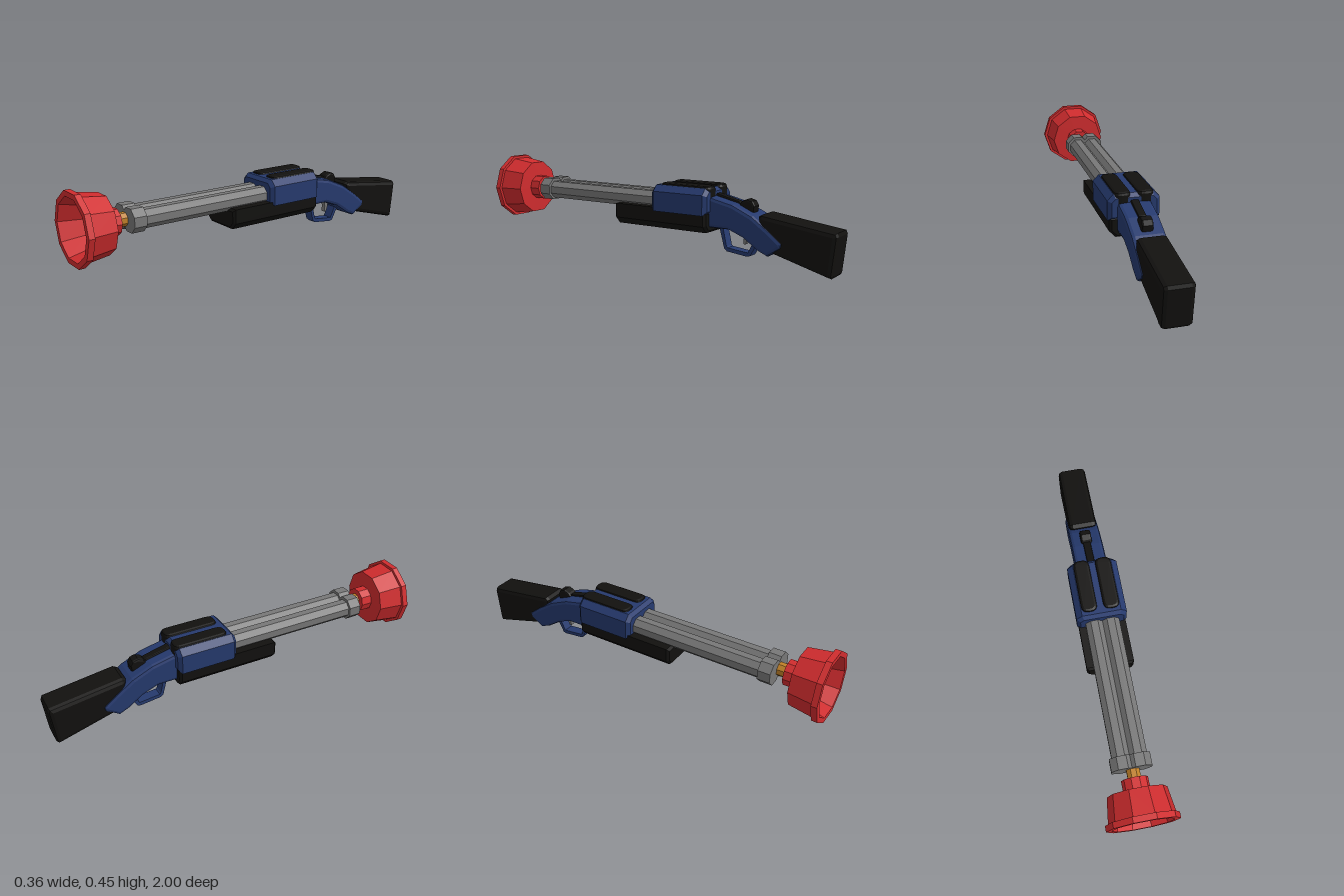
import * as THREE from 'three';

const COLORS = { black: 0x12110f, blue: 0x263a6e, grey: 0x777777, red: 0xd02c2e, brass: 0xc08028 };
const CX = -0.004; // the gun body sits a hair off centre

const materials = {};
for (const [key, color] of Object.entries(COLORS)) {
  materials[key] = new THREE.MeshStandardMaterial({ color, flatShading: true });
}

function mesh(name, geometry, color) {
  const m = new THREE.Mesh(geometry, materials[color]);
  m.name = name;
  return m;
}

const toShape = (pts) => new THREE.Shape(pts.map(([a, b]) => new THREE.Vector2(a, b)));

// Extrusion of total length `depth` centred on 0, with edges rounded inward
function extrude(shape, depth, bevel, segments = 2) {
  const g = new THREE.ExtrudeGeometry(shape, {
    depth: depth - 2 * bevel, bevelEnabled: bevel > 0, bevelThickness: bevel,
    bevelSize: bevel, bevelOffset: -bevel, bevelSegments: segments, curveSegments: 4,
  });
  return g.translate(0, 0, -(depth - 2 * bevel) / 2);
}

// Side profile given as [distance towards the back, height], extruded across x
function sideProfile(shape, width, bevel) {
  return extrude(shape, width, bevel).rotateY(Math.PI / 2).translate(CX, 0, 0);
}

// Cross-section given as [x, y], extruded from z0 to z1
function crossSection(pts, z0, z1, bevel) {
  return extrude(toShape(pts), z1 - z0, bevel, 1).translate(CX, 0, (z0 + z1) / 2);
}

// Octagonal rod along z with a flat on top
function octagonRod(apothem, z0, z1, x, y) {
  const r = apothem / Math.cos(Math.PI / 8);
  return new THREE.CylinderGeometry(r, r, z1 - z0, 8)
    .rotateY(Math.PI / 8).rotateX(Math.PI / 2).translate(x, y, (z0 + z1) / 2);
}

// Rectangle with rounded corners, centred on 0
function roundedRect(w, h, r) {
  const s = new THREE.Shape();
  const a = w / 2, b = h / 2;
  s.moveTo(-a + r, -b);
  s.lineTo(a - r, -b);
  s.quadraticCurveTo(a, -b, a, -b + r);
  s.lineTo(a, b - r);
  s.quadraticCurveTo(a, b, a - r, b);
  s.lineTo(-a + r, b);
  s.quadraticCurveTo(-a, b, -a, b - r);
  s.lineTo(-a, -b + r);
  s.quadraticCurveTo(-a, -b, -a + r, -b);
  return s;
}

export function createModel() {
  const group = new THREE.Group();
  group.name = 'plungerGun';

  // Ten-sided plunger cup: neck, back, wall, lip, then hollow inside
  const cup = [
    [0, 0.78], [0.066, 0.78], [0.066, 0.84], [0.147, 0.843], [0.165, 0.97],
    [0.18, 0.97], [0.18, 1], [0.153, 1], [0.121, 0.885], [0, 0.885],
  ].map(([r, h]) => new THREE.Vector2(r, h));
  group.add(mesh('plungerCup',
    new THREE.LatheGeometry(cup, 10, Math.PI / 2).rotateX(Math.PI / 2).translate(0, 0.277, 0), 'red'));
  group.add(mesh('plungerRod', octagonRod(0.032, 0.68, 0.8, 0, 0.28), 'brass'));

  // Twin barrels with muzzle collars
  for (const side of [-1, 1]) {
    const label = side > 0 ? 'left' : 'right';
    const x = CX + side * 0.042;
    group.add(mesh(label + 'Barrel', octagonRod(0.045, -0.1, 0.725, x, 0.28), 'grey'));
    group.add(mesh(label + 'MuzzleCollar', octagonRod(0.058, 0.67, 0.735, x, 0.282), 'grey'));

    // Rounded cover strip on top of the receiver
    const strip = extrude(roundedRect(0.085, 0.29, 0.036), 0.11, 0.014)
      .rotateX(-Math.PI / 2).translate(CX + side * 0.057, 0.321, -0.213);
    group.add(mesh(label + 'ReceiverCover', strip, 'black'));
  }

  // Receiver with chamfered top edges
  group.add(mesh('receiver', crossSection([
    [-0.13, 0.235], [0.13, 0.235], [0.13, 0.335], [0.1, 0.366], [-0.1, 0.366], [-0.13, 0.335],
  ], -0.355, -0.035, 0.018), 'blue'));

  // Fore-end below the barrels
  group.add(mesh('foreEnd', crossSection([
    [-0.09, 0.146], [0.09, 0.146], [0.122, 0.18], [0.122, 0.253], [-0.122, 0.253], [-0.122, 0.18],
  ], -0.35, 0.198, 0.012), 'black'));

  // Curved grip
  const grip = new THREE.Shape();
  grip.moveTo(0.3, 0.173);
  grip.lineTo(0.45, 0.173);
  grip.lineTo(0.53, 0.142);
  grip.lineTo(0.61, 0.088);
  grip.lineTo(0.66, 0.066);
  grip.lineTo(0.73, 0.112);
  grip.lineTo(0.737, 0.137);
  grip.lineTo(0.67, 0.19);
  grip.lineTo(0.58, 0.252);
  grip.lineTo(0.475, 0.298);
  grip.lineTo(0.34, 0.328);
  grip.lineTo(0.3, 0.328);
  group.add(mesh('grip', sideProfile(grip, 0.168, 0.018), 'blue'));

  // Shoulder stock
  const stock = toShape([
    [0.64, 0.092], [0.955, 0.004], [0.972, 0.0], [0.98, 0.012],
    [1.0, 0.195], [0.993, 0.212], [0.625, 0.262], [0.605, 0.25],
  ]);
  group.add(mesh('stock', sideProfile(stock, 0.15, 0.022), 'black'));

  // Hammer: low bar on the grip and a raised thumb knob
  const bar = toShape([[0.32, 0.27], [0.5, 0.24], [0.52, 0.285], [0.48, 0.306], [0.36, 0.336], [0.32, 0.336]]);
  group.add(mesh('hammerBar', sideProfile(bar, 0.04, 0.006), 'black'));
  const knob = toShape([
    [0.49, 0.24], [0.56, 0.24], [0.566, 0.29], [0.553, 0.314], [0.525, 0.322], [0.497, 0.31], [0.485, 0.295],
  ]);
  group.add(mesh('hammerKnob', sideProfile(knob, 0.058, 0.01), 'black'));

  // Trigger guard: outer outline followed back along the inner one
  const guard = toShape([
    [0.375, 0.18], [0.405, 0.068], [0.42, 0.055], [0.53, 0.042], [0.548, 0.047], [0.585, 0.115],
    [0.565, 0.12], [0.535, 0.061], [0.425, 0.073], [0.418, 0.08], [0.395, 0.18],
  ]);
  group.add(mesh('triggerGuard', sideProfile(guard, 0.054, 0), 'blue'));

  // Curved trigger
  const trigger = toShape([
    [0.495, 0.17], [0.505, 0.13], [0.502, 0.098], [0.515, 0.098], [0.526, 0.13], [0.525, 0.17],
  ]);
  group.add(mesh('trigger', sideProfile(trigger, 0.024, 0), 'grey'));

  return group;
}
